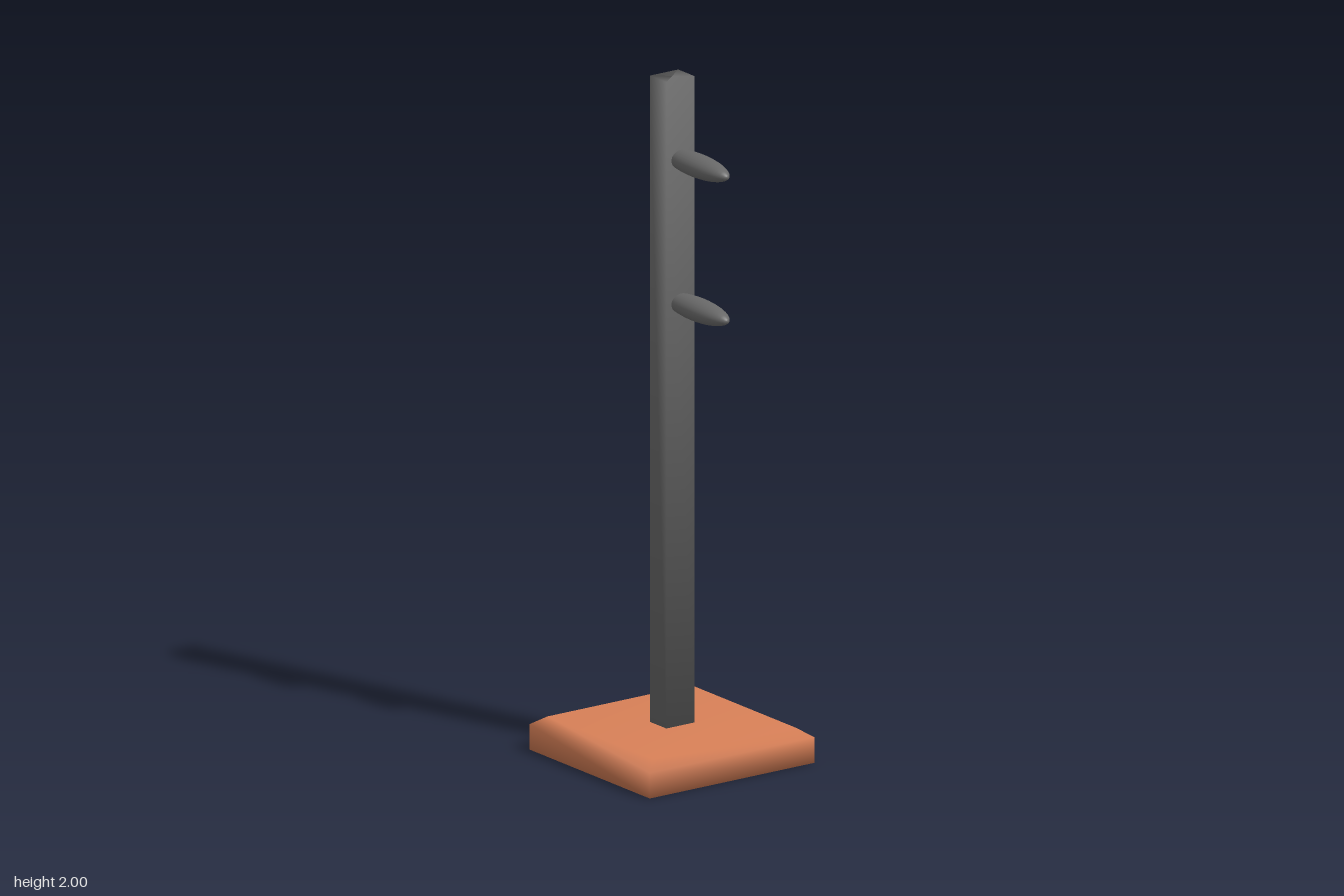
import * as THREE from 'three';

// Smooth-shaded four-sided solid from a profile running bottom to top
function squareSolid(profile, softCaps) {
  const n = profile.length;
  const geo = new THREE.LatheGeometry(profile.map(([r, y]) => new THREE.Vector2(r * Math.SQRT2, y)), 4, Math.PI / 4);
  // soften the caps: centre points take the normals of the rim
  const normal = geo.attributes.normal;
  const copy = (to, from) => normal.setXYZ(to, normal.getX(from), normal.getY(from), normal.getZ(from));
  for (let i = 0; i <= 4; i++) {
    copy(i * n, i * n + 1);
    if (softCaps) copy(i * n + n - 1, i * n + n - 2);
  }
  return geo;
}

export function createModel() {
  const group = new THREE.Group();
  const clay = new THREE.MeshStandardMaterial({ name: 'terracotta', color: 0xd88057 });
  const grey = new THREE.MeshStandardMaterial({ name: 'dark grey', color: 0x686868 });

  const add = (name, geo, mat) => {
    const mesh = new THREE.Mesh(geo, mat);
    mesh.name = name;
    group.add(mesh);
    return mesh;
  };

  // Square base with a bevelled top edge
  add('base', squareSolid([[0, 0], [0.286, 0], [0.286, 0.075], [0.25, 0.1], [0, 0.1]], false), clay);

  // Rectangular upright
  const post = squareSolid([[0, 0.09], [1, 0.09], [1, 2], [0, 2]], true);
  const p = post.attributes.position;
  for (let i = 0; i < p.count; i++) p.setXYZ(i, p.getX(i) * 0.049, p.getY(i), p.getZ(i) * 0.039);
  add('post', post, grey).position.x = 0.001;

  // Two ellipsoid pegs on the front
  const peg = new THREE.SphereGeometry(1, 32, 20).rotateX(Math.PI / 2).scale(0.041, 0.033, 0.143);
  for (const [name, y] of [['upperPeg', 1.765], ['lowerPeg', 1.342]]) {
    add(name, peg, grey).position.set(0.004, y, 0.116);
  }
  return group;
}
